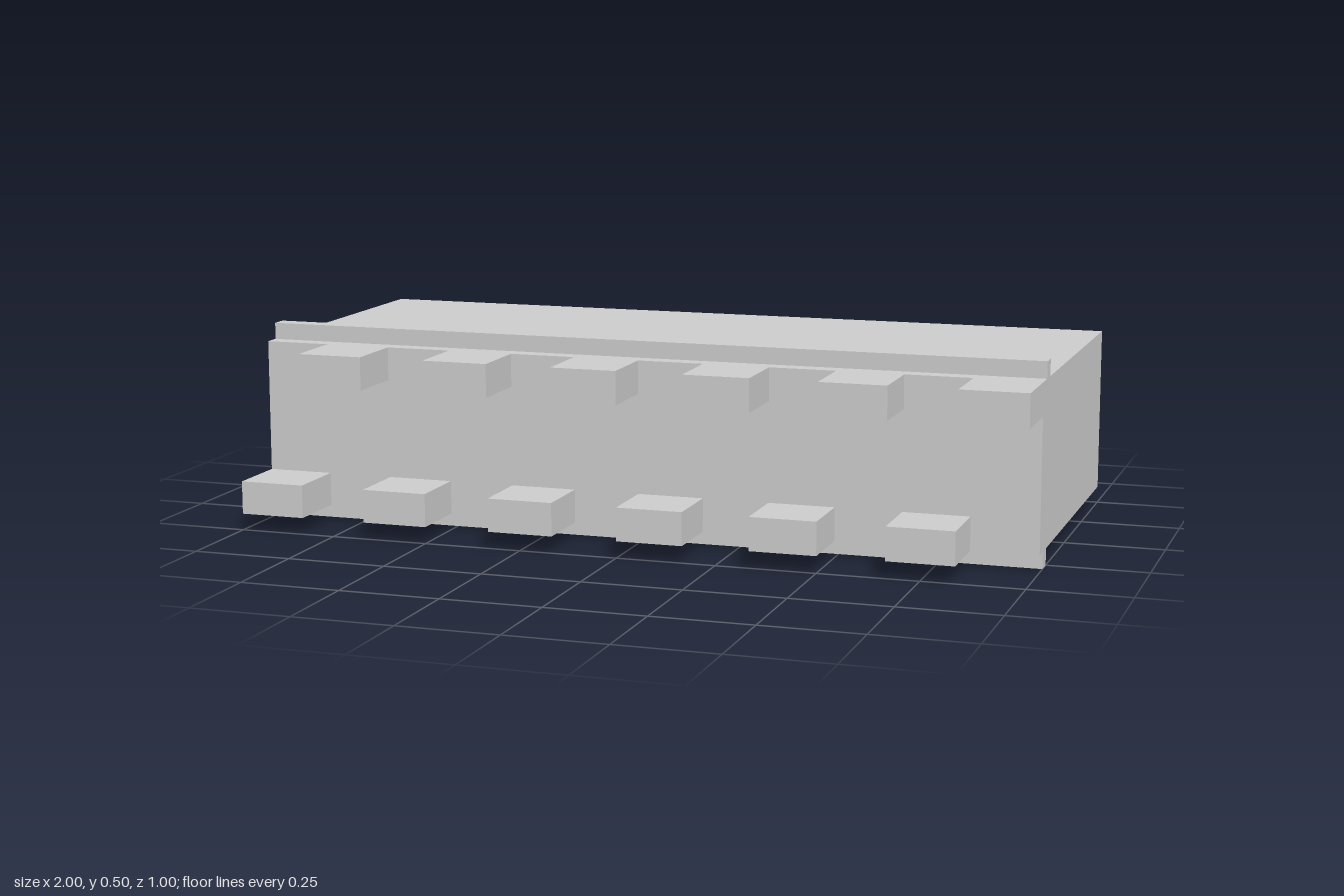
import * as THREE from 'three';

export function createModel() {
  const model = new THREE.Group();
  model.name = 'toothedBlock';
  const material = new THREE.MeshStandardMaterial({ color: 0xcccccc, flatShading: true });

  // Box given by its lower and upper bounds on each axis
  function addBox(name, [x0, x1], [y0, y1], [z0, z1]) {
    const mesh = new THREE.Mesh(new THREE.BoxGeometry(x1 - x0, y1 - y0, z1 - z0), material);
    mesh.position.set((x0 + x1) / 2, (y0 + y1) / 2, (z0 + z1) / 2);
    mesh.name = name;
    model.add(mesh);
  }

  const unit = 1 / 24;
  const height = 12 * unit;
  const bottom = unit, top = height - unit;
  const frontZ = 8 * unit;
  const toothWidth = 4 * unit, toothHeight = 2 * unit;

  // Main block
  addBox('body', [-1, 1], [bottom, top], [-0.5, frontZ]);

  // Thin ridges running the full width, above and below
  const ridgeZ = [6 * unit, 7 * unit];
  addBox('upperRidge', [-1, 1], [top, height], ridgeZ);
  addBox('lowerRidge', [-1, 1], [0, bottom], ridgeZ);

  // Two staggered rows of teeth on the front face
  for (let i = 0; i < 6; i++) {
    const x = -1 + i * 2 * toothWidth;
    addBox('lowerTooth', [x, x + toothWidth], [bottom, bottom + toothHeight], [frontZ, 0.5]);
    addBox('upperTooth', [x + toothWidth, x + 2 * toothWidth], [top - toothHeight, top], [frontZ, 0.5]);
  }

  return model;
}
